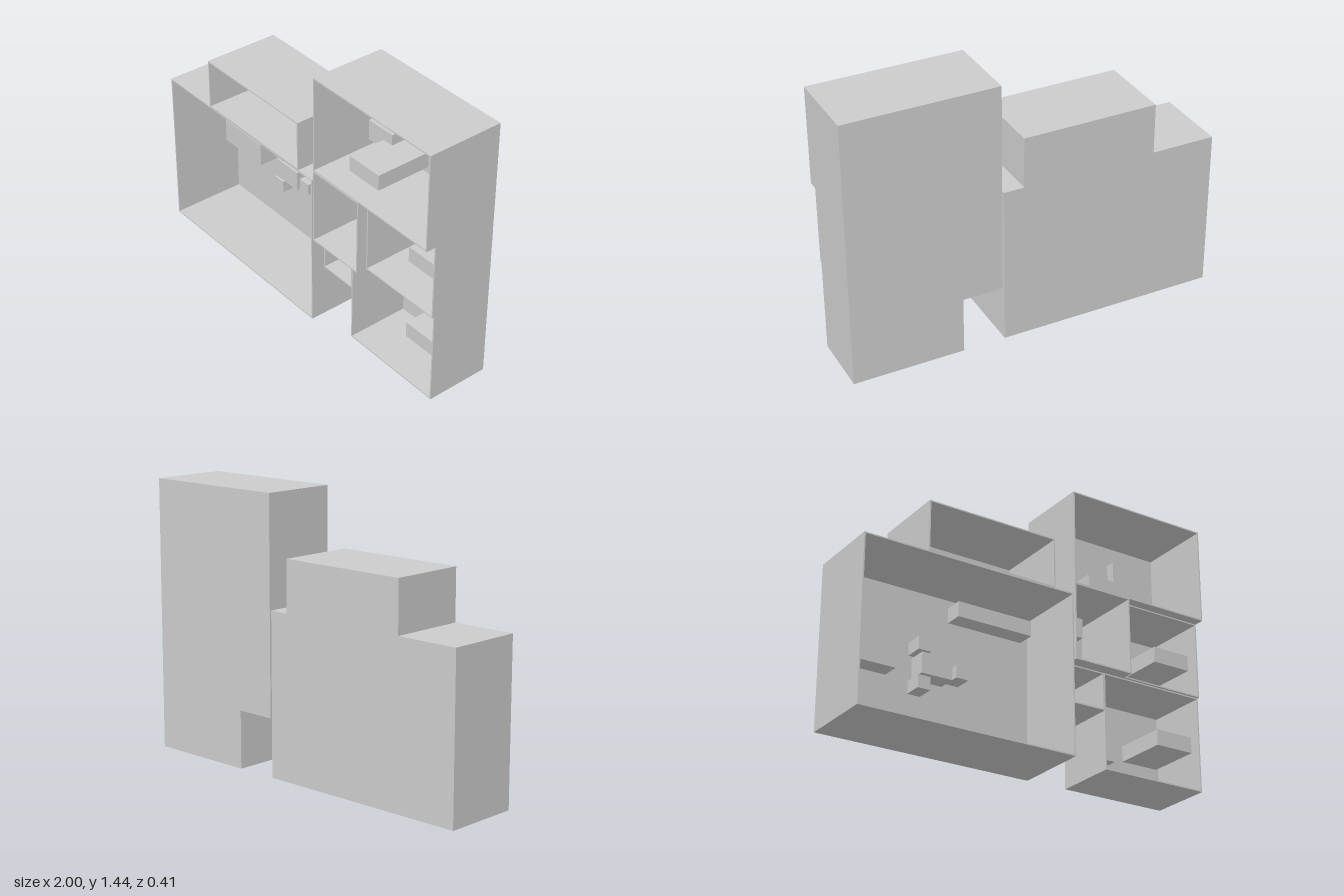
import * as THREE from 'three';

const BACK = -0.207; // shared rear plane
const WALL = 0.007;  // panel thickness
const material = new THREE.MeshStandardMaterial({ color: 0xcccccc, flatShading: true });

function rectangle(Type, x0, x1, y0, y1) {
  const path = new Type();
  path.moveTo(x0, y0);
  path.lineTo(x1, y0);
  path.lineTo(x1, y1);
  path.lineTo(x0, y1);
  path.closePath();
  return path;
}

function addBlock(parent, name, [x0, x1, y0, y1], z0, z1) {
  const mesh = new THREE.Mesh(new THREE.BoxGeometry(x1 - x0, y1 - y0, z1 - z0), material);
  mesh.position.set((x0 + x1) / 2, (y0 + y1) / 2, (z0 + z1) / 2);
  mesh.name = name;
  parent.add(mesh);
}

// A room is a rectangular frame, open at the front, with a back panel and blocks on it
function makeRoom({ name, rect, front, blocks }) {
  const room = new THREE.Group();
  room.name = name;
  const [x0, x1, y0, y1] = rect;
  const outline = rectangle(THREE.Shape, x0, x1, y0, y1);
  outline.holes.push(rectangle(THREE.Path, x0 + WALL, x1 - WALL, y0 + WALL, y1 - WALL));
  const frame = new THREE.Mesh(
    new THREE.ExtrudeGeometry(outline, { depth: front - BACK, bevelEnabled: false }), material);
  frame.position.z = BACK;
  frame.name = name + 'Walls';
  room.add(frame);

  const inner = [x0 + WALL, x1 - WALL, y0 + WALL, y1 - WALL];
  addBlock(room, name + 'BackPanel', inner, BACK, BACK + WALL);
  for (const [part, blockRect, blockFront] of blocks) {
    addBlock(room, part, blockRect, BACK + WALL / 2, blockFront);
  }
  return room;
}

// Rectangles are [left x, right x, bottom y, top y]; block fronts are z positions
const SMALL = -0.1, PANEL = -0.147, DEEP = 0.1;
const rooms = [
  { name: 'mainRoom', rect: [-1, 0.178, 0, 0.86], front: 0.205, blocks: [
    ['wideWallBlock', [-0.955, -0.643, 0.37, 0.5], SMALL],
    ['centreBlock', [-0.5, -0.33, 0.38, 0.49], SMALL],
    ['upperCube', [-0.52, -0.45, 0.5, 0.567], SMALL],
    ['lowerCube', [-0.52, -0.45, 0.3, 0.367], SMALL],
    ['sideCube', [-0.307, -0.237, 0.4, 0.465], SMALL],
    ['longHighBlock', [-0.3, 0.13, 0.73, 0.812], SMALL],
  ] },
  { name: 'roofRoom', rect: [-0.655, 0.07, 0.86, 1.132], front: 0.205, blocks: [] },
  { name: 'topRoom', rect: [0.188, 1, 0.922, 1.442], front: 0.205, blocks: [
    ['topCube', [0.235, 0.305, 1.14, 1.21], SMALL],
    ['topBlock', [0.235, 0.405, 1.0, 1.11], SMALL],
    ['deepTable', [0.343, 0.555, 0.967, 1.052], 0.11],
    ['tallTopPanel', [0.693, 0.92, 1.043, 1.327], PANEL],
  ] },
  { name: 'middleLeftRoom', rect: [0.188, 0.524, 0.508, 0.922], front: 0.207, blocks: [
    ['cupboardBlock', [0.208, 0.45, 0.8, 0.908], SMALL],
    ['smallTallBlock', [0.423, 0.477, 0.555, 0.637], SMALL],
  ] },
  { name: 'middleRightRoom', rect: [0.524, 1, 0.508, 0.922], front: 0.15, blocks: [
    ['middleShelf', [0.763, 0.98, 0.673, 0.757], 0.095],
  ] },
  { name: 'nookRoom', rect: [0.188, 0.405, 0.308, 0.508], front: 0.138, blocks: [
    ['nookBlock', [0.22, 0.273, 0.398, 0.482], SMALL],
  ] },
  { name: 'groundRoom', rect: [0.405, 1, 0, 0.508], front: 0.138, blocks: [
    ['tallGroundPanel', [0.45, 0.675, 0.182, 0.465], PANEL],
    ['groundShelf', [0.763, 0.98, 0.218, 0.302], 0.095],
  ] },
];

export function createModel() {
  const model = new THREE.Group();
  model.name = 'cutawayBuilding';
  rooms.forEach((room) => model.add(makeRoom(room)));
  return model;
}
